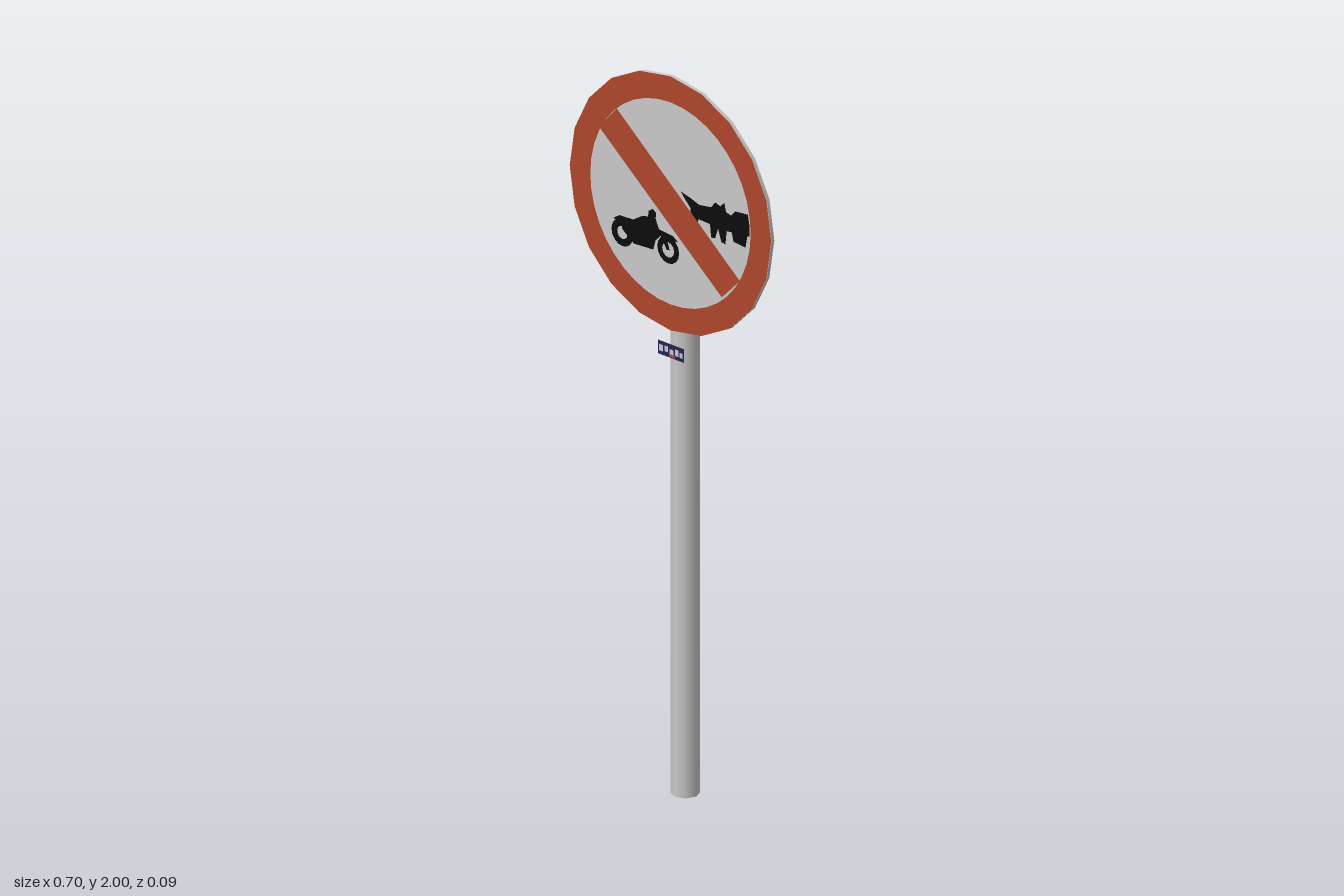
import * as THREE from 'three';

const SIGN_Y = 1.65, SIGN_R = 0.352;

const material = (name, color, side = THREE.FrontSide) => {
  const m = new THREE.MeshStandardMaterial({ color, side });
  m.name = name;
  return m;
};

// Regular polygon points around (cx, cy)
const ngon = (r, n, cx = 0, cy = 0) => Array.from({ length: n }, (_, i) => {
  const a = (i / n) * Math.PI * 2;
  return new THREE.Vector2(cx + r * Math.cos(a), cy + r * Math.sin(a));
});
const poly = (pairs) => new THREE.Shape(pairs.map(([x, y]) => new THREE.Vector2(x, y)));
const ring = (outer, inner, cx = 0, cy = 0, nOuter = 20, nInner = 40) => {
  const s = new THREE.Shape(ngon(outer, nOuter, cx, cy));
  s.holes.push(new THREE.Path(ngon(inner, nInner, cx, cy)));
  return s;
};

export function createModel() {
  const model = new THREE.Group();
  const grey = material('light grey metal', 0xc8c8c8);
  const red = material('sign red', 0xaf452b);
  const black = material('symbol black', 0x0c0c0c);
  const navy = material('sticker navy', 0x25254f, THREE.DoubleSide);
  const pale = material('sticker pale', 0xc9c6d6);
  const pink = material('sticker red', 0xb04450);

  const add = (name, geometry, mat, parent = model) => {
    const mesh = new THREE.Mesh(geometry, mat);
    mesh.name = name;
    parent.add(mesh);
    return mesh;
  };

  // Eight-sided pole
  add('pole', new THREE.CylinderGeometry(0.0375, 0.0375, 1.91, 8), grey)
    .position.set(0, 0.955, -0.015);

  // Sign plate and its painted face
  const sign = new THREE.Group();
  sign.name = 'sign';
  sign.position.y = SIGN_Y;
  model.add(sign);
  add('signPlate', new THREE.CylinderGeometry(SIGN_R, SIGN_R, 0.01, 20).rotateX(Math.PI / 2), grey, sign)
    .position.z = 0.033;
  const paint = (name, shapes, mat, z) =>
    add(name, new THREE.ShapeGeometry(shapes), mat, sign).position.set(0, 0, z);

  paint('redBorder', ring(SIGN_R, 0.28), red, 0.0392);
  paint('diagonalBar', poly([[-0.249, 0.138], [0.18, -0.206], [0.243, -0.142], [-0.187, 0.207]]), red, 0.04);

  // Motorcycle symbol: two wheels, frame and handlebar
  paint('motorcycleSymbol', [
    ring(0.038, 0.018, -0.168, -0.131, 16, 12),
    ring(0.038, 0.021, -0.008, -0.131, 16, 12),
    poly([[-0.2, -0.1], [-0.178, -0.086], [-0.13, -0.084], [-0.098, -0.064], [-0.078, -0.06],
      [-0.077, -0.044], [-0.062, -0.034], [-0.05, -0.042], [-0.052, -0.058], [-0.04, -0.084],
      [0.008, -0.088], [0.026, -0.1], [-0.012, -0.104], [-0.003, -0.131], [-0.013, -0.133],
      [-0.034, -0.1], [-0.052, -0.118], [-0.06, -0.146], [-0.128, -0.15], [-0.168, -0.122],
      [-0.172, -0.104]]),
  ], black, 0.0392);

  // Animal-drawn cart symbol: animal with legs, and a cart behind it
  paint('cartSymbol', [
    poly([[0.036, 0.044], [0.048, 0.03], [0.07, 0.008], [0.074, -0.044], [0.09, -0.044],
      [0.098, -0.014], [0.138, -0.016], [0.142, -0.052], [0.156, -0.05], [0.166, -0.02],
      [0.178, -0.054], [0.192, -0.056], [0.196, -0.018], [0.214, -0.016], [0.22, -0.04],
      [0.262, -0.044], [0.268, -0.012], [0.276, -0.008], [0.276, 0.02], [0.27, 0.05],
      [0.226, 0.046], [0.212, 0.03], [0.194, 0.034], [0.188, 0.058], [0.174, 0.044],
      [0.156, 0.05], [0.142, 0.032], [0.1, 0.026], [0.07, 0.036]]),
  ], black, 0.0392);

  // Small sticker on the pole, with abstract blotches
  const sticker = new THREE.Group();
  sticker.name = 'sticker';
  sticker.position.set(-0.012, 1.232, 0.0245);
  model.add(sticker);
  add('stickerPlate', new THREE.PlaneGeometry(0.09, 0.038), navy, sticker);
  const blotches = [[-0.034, 0, 0.014, 0.018], [-0.016, 0.002, 0.012, 0.016],
    [0.002, -0.002, 0.014, 0.014], [0.02, 0.001, 0.012, 0.018], [0.035, -0.002, 0.01, 0.014]];
  for (const [x, y, w, h] of blotches) {
    add('paleBlotch', new THREE.PlaneGeometry(w, h), pale, sticker).position.set(x, y, 0.0008);
  }
  add('redBlotch', new THREE.PlaneGeometry(0.022, 0.007), pink, sticker).position.set(0.004, -0.013, 0.0008);

  return model;
}
